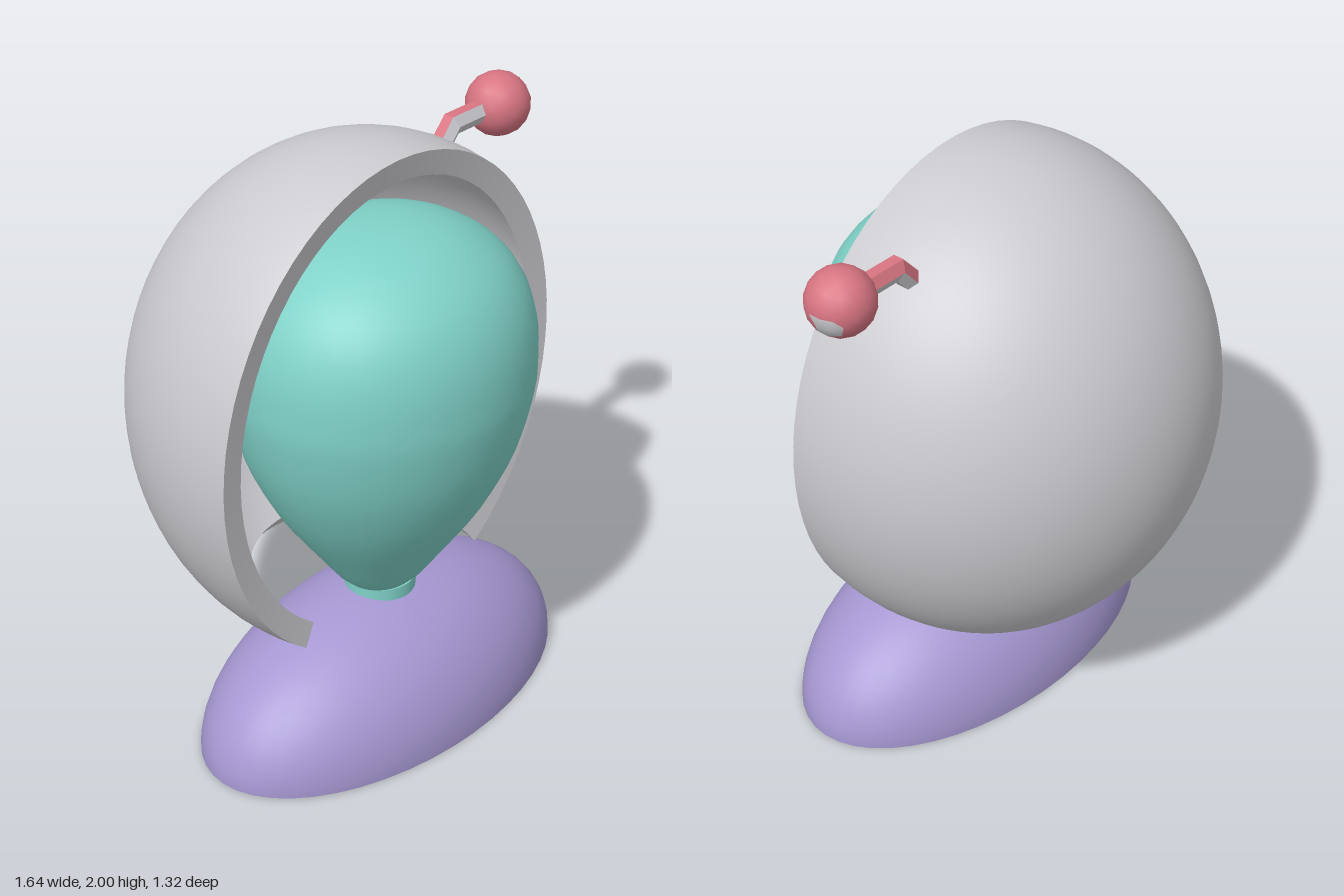
import * as THREE from 'three';

const CX = -0.045;

function mat(name, color) {
  const m = new THREE.MeshStandardMaterial({ color, side: THREE.DoubleSide });
  m.name = name;
  return m;
}

// Surface from a grid of points; fn(i, j) returns { p, n } with an optional normal
function grid(nu, nv, fn) {
  const pos = [], nor = [], idx = [];
  for (let i = 0; i <= nu; i++) {
    for (let j = 0; j <= nv; j++) {
      const { p, n } = fn(i, j);
      pos.push(p.x, p.y, p.z);
      if (n) nor.push(n.x, n.y, n.z);
      if (i < nu && j < nv) {
        const a = i * (nv + 1) + j, c = a + nv + 1;
        idx.push(a, a + 1, c, a + 1, c + 1, c);
      }
    }
  }
  const g = new THREE.BufferGeometry();
  g.setAttribute('position', new THREE.Float32BufferAttribute(pos, 3));
  g.setIndex(idx);
  if (nor.length) g.setAttribute('normal', new THREE.Float32BufferAttribute(nor, 3));
  else g.computeVertexNormals();
  return g;
}

export function createModel() {
  const group = new THREE.Group();
  const grey = mat('hoodGrey', 0xcbcacf);
  const teal = mat('headTeal', 0x7fd1c7);
  const purple = mat('basePurple', 0xa698d2);
  const pink = mat('knobPink', 0xd87582);

  const add = (name, geometry, material, parent = group) => {
    const m = new THREE.Mesh(geometry, material);
    m.name = name;
    parent.add(m);
    return m;
  };

  // Base: hollow half ellipsoid
  const base = add('base', new THREE.SphereGeometry(1, 48, 16, 0, Math.PI * 2, 0, Math.PI / 2), purple);
  base.scale.set(0.755, 0.43, 0.425);
  base.position.set(CX, 0, 0.195);

  // Neck and egg-shaped head
  add('neck', new THREE.CylinderGeometry(0.12, 0.12, 0.25, 24), teal).position.set(CX, 0.335, 0.19);
  const profile = new THREE.SplineCurve([
    [0, 0.42], [0.125, 0.46], [0.24, 0.6], [0.38, 0.8], [0.475, 1.0], [0.518, 1.18], [0.525, 1.29],
    [0.513, 1.42], [0.47, 1.54], [0.39, 1.64], [0.26, 1.72], [0.12, 1.758], [0, 1.765],
  ].map(([x, y]) => new THREE.Vector2(x, y))).getPoints(36);
  profile.forEach((p) => { p.x = Math.max(p.x, 0); });
  const head = add('head', new THREE.LatheGeometry(profile, 40), teal);
  head.position.set(CX, 0, 0.19);
  head.scale.z = 0.475 / 0.525;

  // Hood: thick ellipsoid shell, cut flat in front and below
  const hood = new THREE.Group();
  hood.name = 'hood';
  group.add(hood);
  const R = 0.775, RY = 0.88, CY = 1.12, CZ = 0.12, THICK = 0.087;
  const cut = (CY - 0.395) / RY;
  const t0 = Math.acos(0.13 / R), t1 = Math.PI - Math.asin(cut);
  const N1 = 20, N2 = 12, NA = 56;
  const shell = (i, j, depth) => {
    const k = Math.min(i, N1) / N1;
    const t = i <= N1 ? t1 - (t1 - t0) * (1 - k) ** 2 : t1 + (Math.PI - t1) * (i - N1) / N2;
    const s = Math.sin(t);
    const end = i < N1 ? Math.acos(-Math.min(1, cut / s)) : Math.PI;
    const a = (j / NA * 2 - 1) * end;
    const x = s * Math.sin(a), y = s * Math.cos(a), z = Math.cos(t);
    const n = new THREE.Vector3(x / R, y / RY, z / R).normalize();
    const p = new THREE.Vector3(CX + R * x, CY + RY * y, CZ + R * z).addScaledVector(n, -depth);
    return { p, n };
  };
  add('hoodOuter', grid(N1 + N2, NA, (i, j) => shell(i, j, 0)), grey, hood);
  add('hoodInner', grid(N1 + N2, NA, (i, j) => {
    const q = shell(i, NA - j, THICK);
    q.n.negate();
    return q;
  }), grey, hood);
  add('hoodFrontRim', grid(1, NA, (i, j) => ({ p: shell(0, j, i ? 0 : THICK).p })), grey, hood);
  add('hoodBottomRimLeft', grid(1, N1, (i, j) => ({ p: shell(j, NA, i ? 0 : THICK).p })), grey, hood);
  add('hoodBottomRimRight', grid(1, N1, (i, j) => ({ p: shell(j, 0, i ? THICK : 0).p })), grey, hood);

  // Antenna rod: bent hexagonal bar, pink above and grey below
  const antenna = new THREE.Group();
  antenna.name = 'antenna';
  group.add(antenna);
  // x, y, side direction x and y, radius
  const sections = [
    [0.365, 1.73, -0.73, 0.68, 0], [0.365, 1.73, -0.73, 0.68, 0.038],
    [0.48, 1.86, -0.41, 1, 0.038], [0.65, 1.86, 0, 1, 0.038],
  ];
  const rod = (name, from, sides, material) => {
    const g = grid(3, sides, (i, j) => {
      const [x, y, ux, uy, r] = sections[i];
      const th = THREE.MathUtils.degToRad(from + j * 60);
      const c = r * Math.cos(th);
      return { p: new THREE.Vector3(x + c * ux, y + c * uy, 0.008 + r * Math.sin(th)) };
    }).toNonIndexed();
    g.computeVertexNormals();
    add(name, g, material, antenna);
  };
  rod('rodTop', -90, 2, pink);
  rod('rodUnderside', 30, 4, grey);

  // Antenna ball with a grey patch on its lower outer side
  const ball = new THREE.IcosahedronGeometry(0.11, 2);
  const pos = ball.attributes.position;
  const patch = new THREE.Vector3(1, -0.45, -0.3).normalize();
  const v = new THREE.Vector3(), mid = new THREE.Vector3();
  for (let i = 0; i < pos.count; i += 3) {
    mid.set(0, 0, 0);
    for (let k = 0; k < 3; k++) mid.add(v.fromBufferAttribute(pos, i + k));
    ball.addGroup(i, 3, mid.normalize().dot(patch) > 0.9 ? 1 : 0);
  }
  add('antennaBall', ball, [pink, grey], antenna).position.set(0.71, 1.86, 0.01);

  return group;
}
